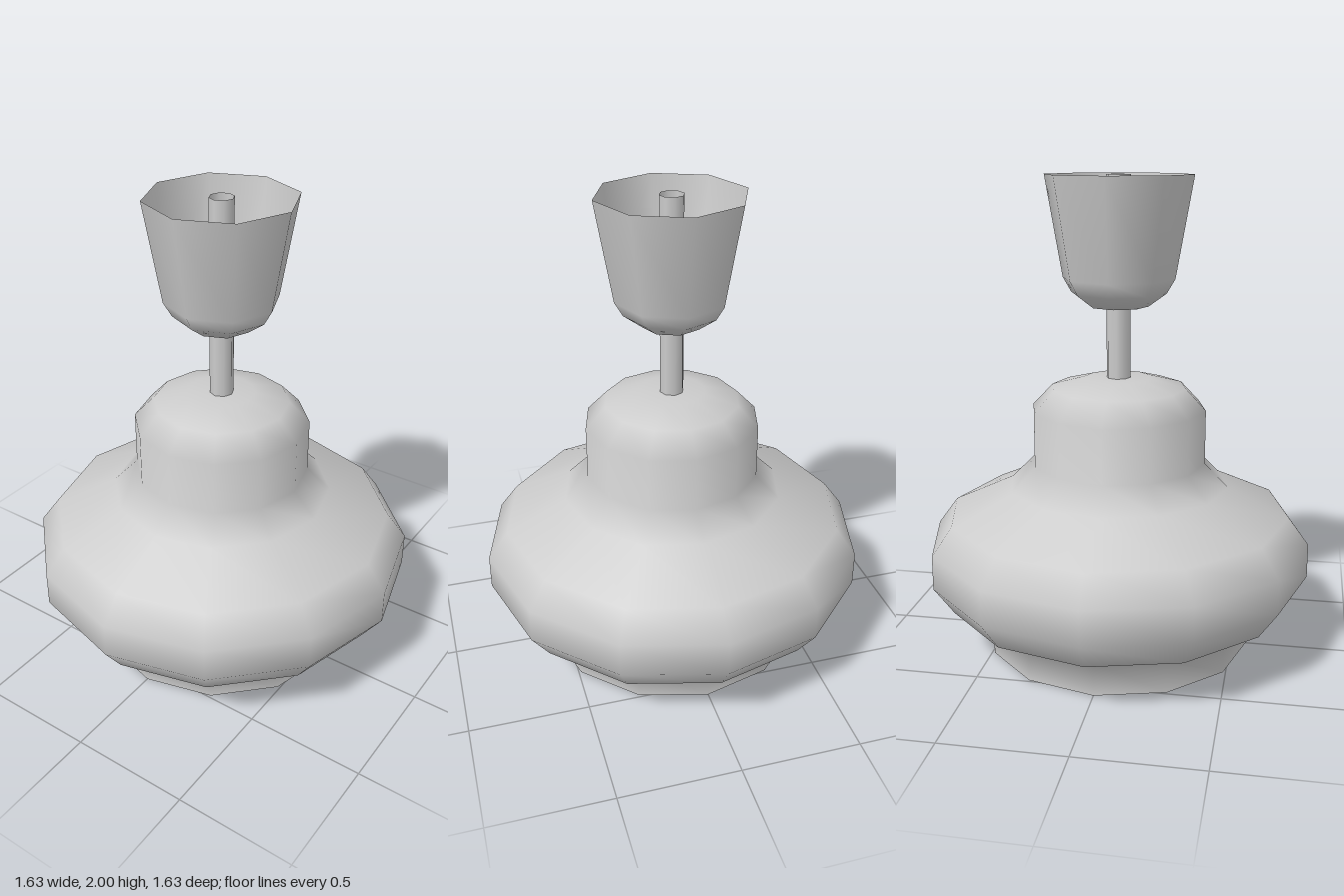
import * as THREE from 'three';

const material = new THREE.MeshStandardMaterial({ color: 0xcccccc });
const thinMaterial = new THREE.MeshStandardMaterial({ color: 0xcccccc, side: THREE.DoubleSide });

// Turned surface from [radius, height] pairs; rising profiles face outward
function turned(name, profile, sides, mat = material) {
  const points = profile.map(([r, y]) => new THREE.Vector2(r, y));
  const mesh = new THREE.Mesh(new THREE.LatheGeometry(points, sides), mat);
  mesh.name = name;
  return mesh;
}

export function createModel() {
  const lamp = new THREE.Group();
  lamp.name = 'pendantLamp';

  // Hollow bulbous shade: outer skin, bottom rim and inner skin
  const shade = new THREE.Group();
  shade.name = 'shade';
  shade.add(
    turned('shadeOuter', [
      [0.565, 0], [0.565, 0.14], [0.73, 0.21], [0.815, 0.33], [0.815, 0.475], [0.73, 0.59],
      [0.47, 0.71], [0.37, 0.81], [0.37, 1.04], [0.285, 1.13], [0.14, 1.17], [0, 1.17],
    ], 12),
    turned('shadeRim', [[0.5, 0], [0.565, 0]], 12),
    turned('shadeInner', [
      [0, 1.11], [0.13, 1.11], [0.25, 1.08], [0.305, 1.01], [0.305, 0.78], [0.43, 0.655],
      [0.69, 0.54], [0.75, 0.455], [0.75, 0.35], [0.69, 0.265], [0.5, 0.18], [0.5, 0],
    ], 12),
  );

  // Open tube running up through the canopy floor
  const stem = turned('stem', [[0.05, 1.16], [0.05, 2]], 8, thinMaterial);

  // Thin eight-sided ceiling canopy, open at the top
  const canopy = turned('canopy', [
    [0, 1.47], [0.125, 1.47], [0.2, 1.525], [0.235, 1.585], [0.308, 2],
  ], 8, thinMaterial);

  lamp.add(shade, stem, canopy);
  return lamp;
}
